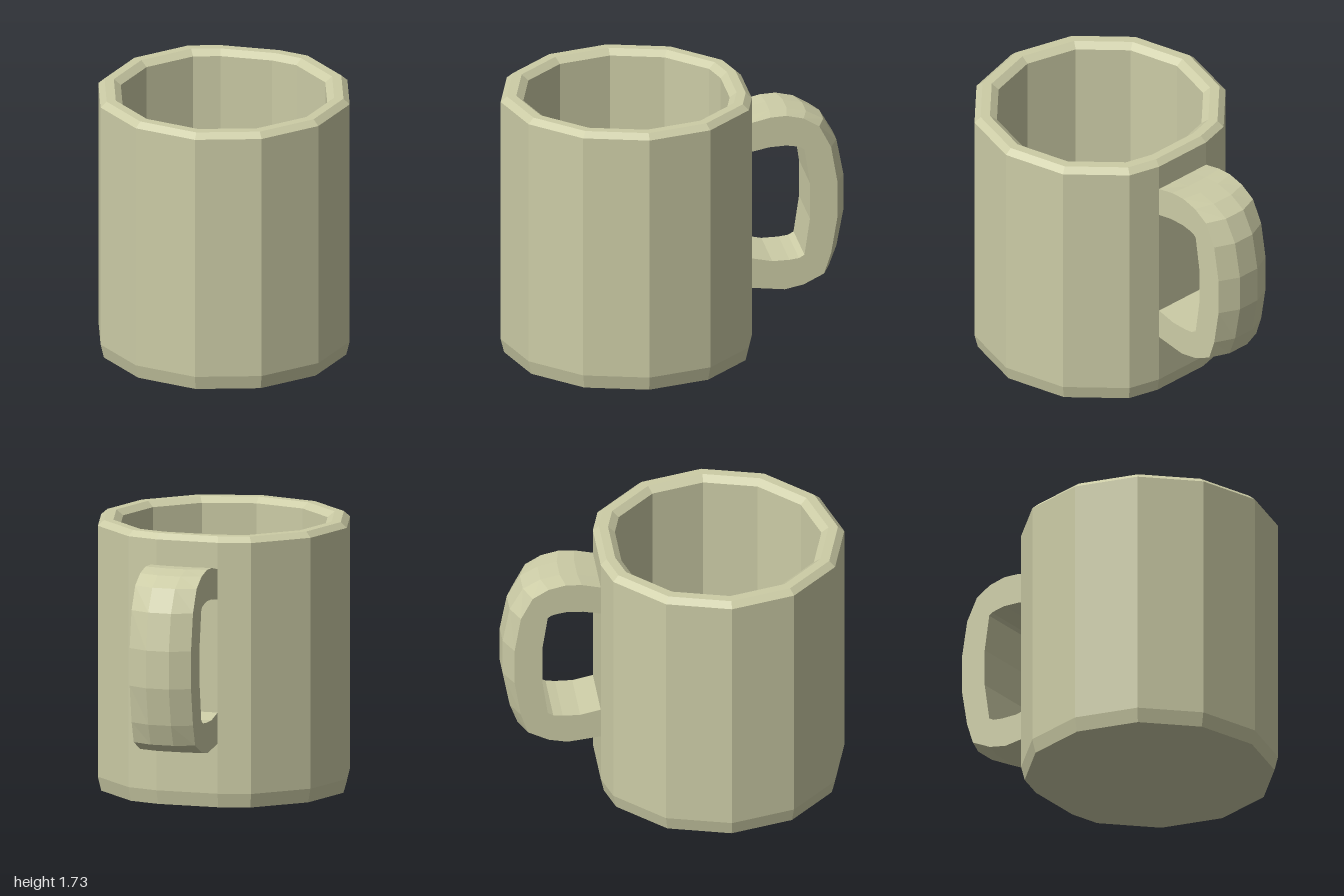
import * as THREE from 'three';

const material = new THREE.MeshStandardMaterial({ color: 0xcccca6, flatShading: true });

// Skin a list of closed rings (Vector3 arrays of equal length) with flat faces
function loft(name, rings) {
  const pos = [];
  const tri = (a, b, c) => {
    if (a.distanceTo(b) < 1e-6 || b.distanceTo(c) < 1e-6 || c.distanceTo(a) < 1e-6) return;
    for (const p of [a, b, c]) pos.push(p.x, p.y, p.z);
  };
  for (let k = 0; k < rings.length - 1; k++) {
    const lo = rings[k], hi = rings[k + 1], n = lo.length;
    for (let i = 0; i < n; i++) {
      const j = (i + 1) % n;
      tri(lo[i], hi[i], hi[j]);
      tri(lo[i], hi[j], lo[j]);
    }
  }
  const geometry = new THREE.BufferGeometry();
  geometry.setAttribute('position', new THREE.Float32BufferAttribute(pos, 3));
  geometry.computeVertexNormals();
  const mesh = new THREE.Mesh(geometry, material);
  mesh.name = name;
  return mesh;
}

// Unit outline: twelve sides, with the corner behind the handle cut flat
function outline() {
  const corners = [];
  for (let i = 0; i < 12; i++) {
    const a = THREE.MathUtils.degToRad(4.3 + 30 * i);
    corners.push(new THREE.Vector2(Math.cos(a), Math.sin(a)));
  }
  const cut = [
    corners[9].clone().lerp(corners[10], 0.5),
    corners[10].clone().lerp(corners[11], 0.5),
  ];
  corners.splice(10, 1, ...cut);
  return { corners, cut };
}

export function createModel() {
  const group = new THREE.Group();
  group.name = 'mug';
  const cx = -0.05, cz = 0.19, radius = 0.81;
  const { corners, cut } = outline();

  // Cup: radius and height pairs from under the base, over the rim, to the inner floor
  const profile = [
    [0, 0], [0.788, 0], [radius, 0.09], [radius, 1.69], [0.77, 1.725],
    [0.71, 1.725], [0.665, 1.69], [0.665, 0.1], [0, 0.1],
  ];
  group.add(loft('cup', profile.map(([r, y]) =>
    corners.map((c) => new THREE.Vector3(cx + c.x * r, y, cz + c.y * r)))));

  // Handle: outer and inner edge at each station, as distance from the cup and height
  const stations = [
    [-0.01, 1.52, -0.01, 1.325], [0.12, 1.55, 0.11, 1.35], [0.22, 1.555, 0.22, 1.355],
    [0.33, 1.53, 0.28, 1.345], [0.43, 1.47, 0.315, 1.335], [0.505, 1.325, 0.335, 1.32],
    [0.545, 1.09, 0.37, 1.09], [0.545, 0.85, 0.37, 0.85], [0.505, 0.61, 0.335, 0.61],
    [0.46, 0.475, 0.30, 0.59], [0.33, 0.41, 0.24, 0.582], [0.21, 0.385, 0.13, 0.58],
    [-0.01, 0.41, -0.01, 0.61],
  ];
  const mid = cut[0].clone().lerp(cut[1], 0.5);
  const side = cut[1].clone().sub(cut[0]).normalize();
  const out = mid.clone().normalize();
  const half = cut[0].distanceTo(cut[1]) * radius / 2;
  const at = (d, y, u) => new THREE.Vector3(
    cx + mid.x * radius + out.x * d + side.x * u, y,
    cz + mid.y * radius + out.y * d + side.y * u);
  const rings = stations.map(([od, oy, id, iy]) => {
    const bulge = od * 1.11;
    return [
      at(od, oy, half), at(bulge, oy, 0.075), at(bulge, oy, -0.075), at(od, oy, -half),
      at(id, iy, -half), at(id, iy, half),
    ];
  });
  group.add(loft('handle', rings));
  return group;
}
